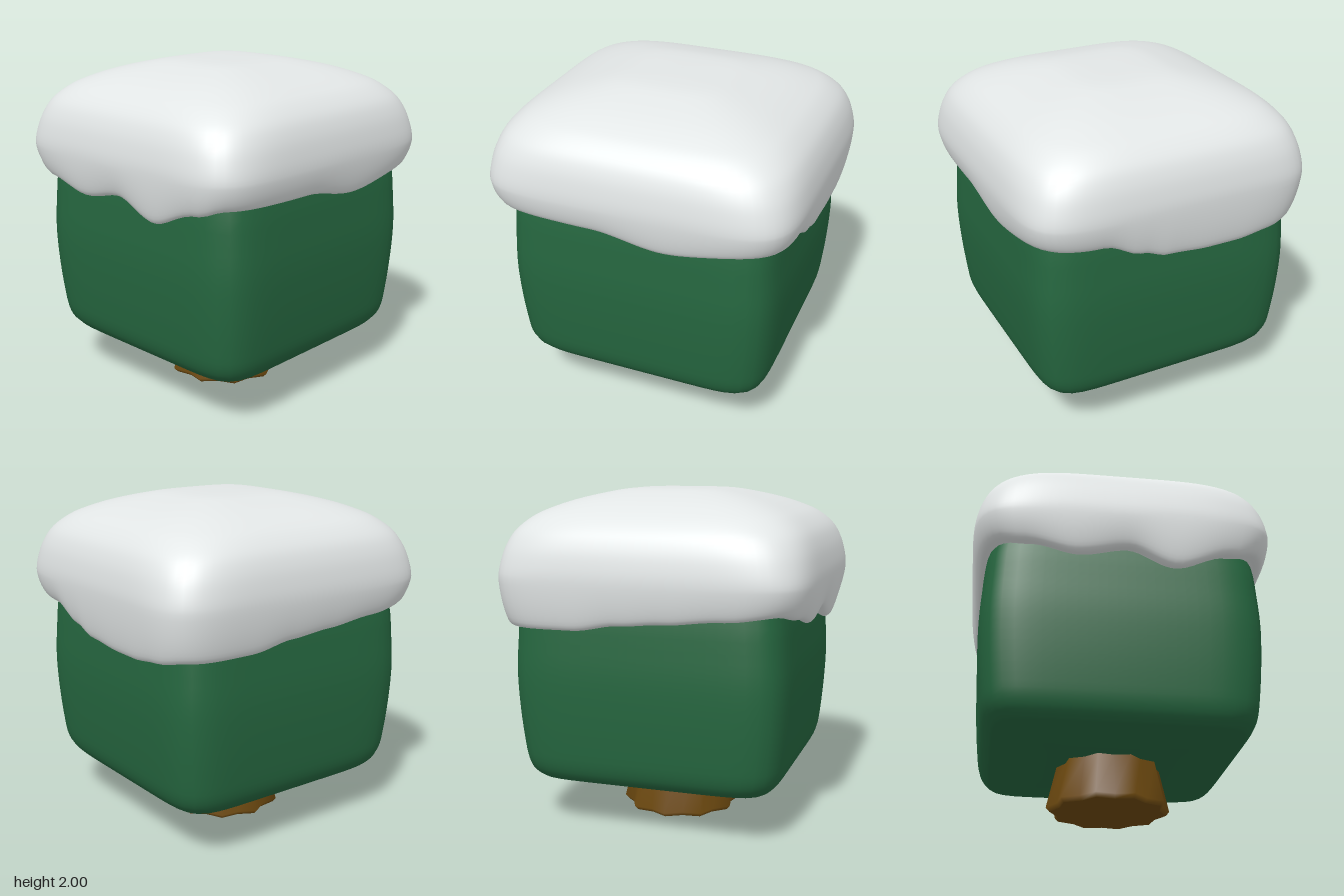
import * as THREE from 'three';

const snow = new THREE.MeshStandardMaterial({ name: 'snow white', color: 0xe2e6e6 });
const green = new THREE.MeshStandardMaterial({ name: 'leaf green', color: 0x25663f });
const brown = new THREE.MeshStandardMaterial({ name: 'bark brown', color: 0x6e4a10 });

// Radius of a unit rounded square in direction t
const squircle = (t, n) =>
  (Math.abs(Math.cos(t)) ** n + Math.abs(Math.sin(t)) ** n) ** (-1 / n);

// Skin a closed stack of rings, bottom to top; point(ring, angle) gives [x, y, z]
function loft(rings, sides, point) {
  const pos = [], index = [];
  rings.forEach((ring, i) => {
    for (let j = 0; j < sides; j++) {
      pos.push(...point(ring, (j / sides) * Math.PI * 2, j));
      if (i === rings.length - 1) continue;
      const a = i * sides + j, b = i * sides + (j + 1) % sides;
      index.push(a, a + sides, b, b, a + sides, b + sides);
    }
  });
  const geo = new THREE.BufferGeometry();
  geo.setAttribute('position', new THREE.Float32BufferAttribute(pos, 3));
  geo.setIndex(index);
  geo.computeVertexNormals();
  return geo;
}

const smooth = (points, count) =>
  new THREE.SplineCurve(points.map(p => new THREE.Vector2(...p))).getPoints(count);

// Height of the snow's wavy lower edge: [degrees from +x towards +z, y]
const HEM = [
  [-45, 1.34], [-14, 1.27], [14, 1.33], [45, 1.34], [53, 1.30], [71, 1.20], [90, 1.30],
  [110, 1.25], [127, 1.31], [135, 1.34], [150, 1.31], [170, 1.28], [188, 1.26], [205, 1.22],
  [225, 1.215], [235, 1.19], [246, 1.17], [257, 1.17], [276, 1.19], [287, 1.24], [300, 1.33], [315, 1.34],
];
function hemHeight(t) {
  let d = THREE.MathUtils.radToDeg(t);
  if (d >= 315) d -= 360;
  const k = Math.max(1, HEM.findIndex(h => h[0] > d));
  const [d0, y0] = HEM[k - 1], [d1, y1] = HEM[k];
  return THREE.MathUtils.lerp(y0, y1, THREE.MathUtils.smoothstep(d, d0, d1));
}

function add(group, name, geometry, material) {
  const mesh = new THREE.Mesh(geometry, material);
  mesh.name = name;
  group.add(mesh);
}

export function createModel() {
  const group = new THREE.Group();
  group.name = 'snowyCubeTree';

  // Trunk: fluted, flaring to the ground
  const flute = (r, t, j) => {
    const s = r.x * (j % 2 ? 0.89 : 1);
    return [s * Math.cos(t) - 0.008, r.y, s * Math.sin(t)];
  };
  const trunkRings = [[0.345, 0], [0.367, 0.025], [0.31, 0.27], [0.295, 0.34]];
  add(group, 'trunk', loft(trunkRings.map(p => new THREE.Vector2(...p)), 20, flute), brown);
  const base = [[0.001, 0], [0.345, 0]].map(p => new THREE.Vector2(...p));
  add(group, 'trunkBase', loft(base, 20, flute), brown);

  // Foliage: softly bulging cube
  const foliageRings = smooth([
    [0.001, 0.27], [0.35, 0.273], [0.66, 0.29], [0.735, 0.325], [0.775, 0.4], [0.793, 0.52],
    [0.81, 0.72], [0.818, 0.93], [0.81, 1.12], [0.79, 1.34], [0.73, 1.5], [0.4, 1.56], [0.001, 1.57],
  ], 40);
  add(group, 'foliage', loft(foliageRings, 96, (r, t) => {
    const s = r.x * squircle(t, 8.5);
    return [s * Math.cos(t) - 0.005, r.y, s * Math.sin(t) - 0.005];
  }), green);

  // Snow cap: rounded slab whose lower edge droops unevenly and tucks under
  const RIM = 1.5;
  const snowRings = smooth([
    [0.82, 1.31], [0.88, 1.26], [0.92, 1.25], [0.955, 1.28], [0.985, 1.38], [1, RIM],
    [0.99, 1.6], [0.965, 1.69], [0.92, 1.77], [0.84, 1.84], [0.75, 1.885], [0.62, 1.93],
    [0.45, 1.97], [0.28, 1.995], [0.001, 2],
  ], 56);
  add(group, 'snowCap', loft(snowRings, 144, (r, t) => {
    const high = THREE.MathUtils.clamp((r.y - RIM) / 0.5, 0, 1);
    const s = r.x * squircle(t, 6.8 - 2.8 * high);
    const y = r.y < RIM ? RIM - (RIM - r.y) * (RIM - hemHeight(t)) / 0.25 : r.y;
    return [0.885 * s * Math.cos(t), y, 0.928 * s * Math.sin(t)];
  }), snow);

  return group;
}
